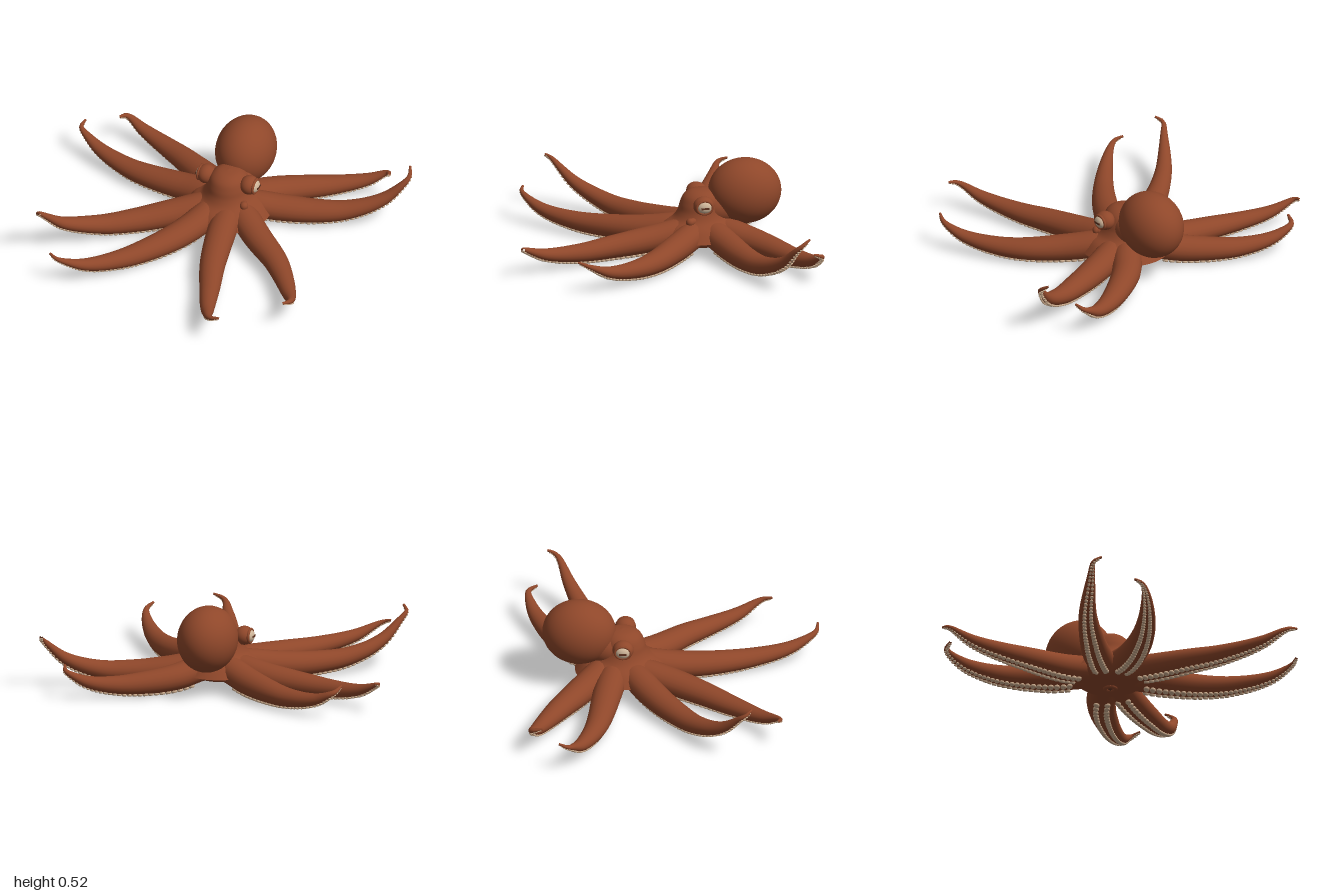
import * as THREE from 'three';
import { mergeGeometries } from 'three/addons/utils/BufferGeometryUtils.js';

const mat = (name, color) => {
  const m = new THREE.MeshStandardMaterial({ color });
  m.name = name;
  return m;
};
const V2 = (x, y) => new THREE.Vector2(x, y);
const UP = new THREE.Vector3(0, 1, 0);

// Smooth value over 0..1 from evenly spaced knots
const smooth = (knots) => {
  const c = new THREE.SplineCurve(knots.map((v, i) => V2(i / (knots.length - 1), v)));
  return (t) => c.getPoint(t).y;
};
const armRadius = smooth([0.085, 0.083, 0.073, 0.058, 0.038, 0.007]);
const lowArm = smooth([0.135, 0.105, 0.09, 0.088, 0.115, 0.195]);
const raisedArm = smooth([0.135, 0.105, 0.092, 0.107, 0.18, 0.34]);

// Plan paths (x, z) of the eight arms, base to curled tip
const ARMS = [
  { name: 'frontLeftArm', path: [[0.09, -0.16], [0.11, 0], [0.165, 0.24], [0.23, 0.43], [0.335, 0.71], [0.4, 0.825], [0.465, 0.835]] },
  { name: 'sideLeftArm', path: [[0.14, -0.21], [0.3, -0.07], [0.5, 0.1], [0.67, 0.33], [0.755, 0.5], [0.735, 0.565]] },
  { name: 'frontRightArm', path: [[-0.01, -0.17], [-0.07, 0], [-0.17, 0.19], [-0.36, 0.45], [-0.55, 0.64], [-0.62, 0.675], [-0.665, 0.66]] },
  { name: 'sideRightArm', raised: true, path: [[-0.05, -0.2], [-0.25, -0.06], [-0.43, 0.08], [-0.65, 0.27], [-0.78, 0.43], [-0.815, 0.485], [-0.785, 0.52]] },
  { name: 'rearSideRightArm', path: [[-0.06, -0.3], [-0.24, -0.33], [-0.6, -0.38], [-0.91, -0.48], [-0.985, -0.52], [-0.98, -0.57]] },
  { name: 'rearRightArm', path: [[-0.04, -0.37], [-0.22, -0.49], [-0.45, -0.625], [-0.69, -0.715], [-0.79, -0.73], [-0.815, -0.67]] },
  { name: 'rearSideLeftArm', raised: true, path: [[0.14, -0.3], [0.29, -0.36], [0.62, -0.48], [0.885, -0.61], [0.98, -0.68], [0.965, -0.735]] },
  { name: 'rearLeftArm', path: [[0.12, -0.38], [0.25, -0.53], [0.48, -0.695], [0.69, -0.805], [0.785, -0.83], [0.81, -0.78]] },
];

// Returns position and axes along an arm
function armFrames({ path, raised }) {
  const plan = new THREE.CatmullRomCurve3(path.map(([x, z]) => new THREE.Vector3(x, 0, z)));
  const height = raised ? raisedArm : lowArm;
  const at = (t) => {
    const p = plan.getPointAt(t);
    p.y = height(t);
    return p;
  };
  const frame = (t) => {
    const tangent = at(Math.min(1, t + 0.005)).sub(at(Math.max(0, t - 0.005))).normalize();
    const side = tangent.clone().cross(UP).normalize();
    return { p: at(t), side, up: side.clone().cross(tangent), r: armRadius(t) };
  };
  return { frame, length: plan.getLength() };
}

// Tapered arm, slightly flattened
const FLAT = 0.9;
function armGeometry(frame, rings = 56, sides = 20) {
  const pos = [], idx = [];
  for (let i = 0; i <= rings; i++) {
    const { p, side, up, r } = frame(i / rings);
    for (let j = 0; j < sides; j++) {
      const a = (j / sides) * Math.PI * 2;
      const v = p.clone().addScaledVector(side, Math.cos(a) * r).addScaledVector(up, Math.sin(a) * r * FLAT);
      pos.push(v.x, v.y, v.z);
      if (i === rings) continue;
      const k = (j + 1) % sides, b = i * sides, c = b + sides;
      idx.push(b + j, c + j, b + k, c + j, c + k, b + k);
    }
  }
  const g = new THREE.BufferGeometry();
  g.setAttribute('position', new THREE.Float32BufferAttribute(pos, 3));
  g.setIndex(idx);
  g.computeVertexNormals();
  return g;
}

// Two rows of cups under the arm, shrinking to the tip
function suckerGeometry({ frame, length }) {
  const cup = new THREE.LatheGeometry(
    [V2(0.8, -0.6), V2(1.05, 0.2), V2(0.9, 0.7), V2(0.55, 0.75), V2(0, 0.35)], 10);
  const parts = [];
  for (let t = 0.12; t < 0.985;) {
    const { p, side, up, r } = frame(t);
    const size = 0.15 * r + 0.0045;
    for (const s of [-1, 1]) {
      const a = s * 0.36;
      const out = up.clone().multiplyScalar(-Math.cos(a)).addScaledVector(side, Math.sin(a));
      const spot = p.clone().addScaledVector(up, -Math.cos(a) * r * FLAT).addScaledVector(side, Math.sin(a) * r);
      const m = new THREE.Matrix4().compose(
        spot, new THREE.Quaternion().setFromUnitVectors(UP, out), new THREE.Vector3(size, size, size));
      parts.push(cup.clone().applyMatrix4(m));
    }
    t += (size * 2) / length;
  }
  return mergeGeometries(parts);
}

export function createModel() {
  const skin = mat('skin', 0x8f472a);
  const pale = mat('sucker', 0xcbac8e);
  const eyeColor = mat('eye', 0xcdb498);
  const dark = mat('darkBrown', 0x5e3220);
  const model = new THREE.Group();
  model.name = 'octopus';

  const add = (name, geo, material, pos = [0, 0, 0], scale = [1, 1, 1], parent = model) => {
    const m = new THREE.Mesh(geo, material);
    m.name = name;
    m.position.set(...pos);
    m.scale.set(...scale);
    parent.add(m);
    return m;
  };
  const ball = new THREE.SphereGeometry(1, 40, 28);

  // Mantle, head flaring into the arms, and the web underneath
  add('mantle', ball, skin, [0.045, 0.345, -0.505], [0.17, 0.19, 0.21]);
  add('neck', ball, skin, [0.045, 0.26, -0.34], [0.115, 0.105, 0.14]);
  add('web', ball, skin, [0.05, 0.115, -0.26], [0.21, 0.075, 0.2]);
  const headProfile = new THREE.SplineCurve([V2(0.25, 0.11), V2(0.205, 0.17), V2(0.155, 0.205),
    V2(0.13, 0.245), V2(0.118, 0.29), V2(0.098, 0.335), V2(0.058, 0.363), V2(0, 0.372)]);
  add('head', new THREE.LatheGeometry(headProfile.getPoints(32), 48), skin, [0.045, 0, -0.26], [1, 1, 1.08]);

  // Arms with suckers
  for (const spec of ARMS) {
    const arm = new THREE.Group();
    arm.name = spec.name;
    const frames = armFrames(spec);
    add('armFlesh', armGeometry(frames.frame), skin, undefined, undefined, arm);
    add('suckers', suckerGeometry(frames), pale, undefined, undefined, arm);
    model.add(arm);
  }

  // Eyes: bulge, lid ring, pale eyeball and bar pupil
  for (const s of [1, -1]) {
    const eye = new THREE.Group();
    eye.name = s > 0 ? 'leftEye' : 'rightEye';
    eye.position.set(0.045 + s * 0.133, 0.308, -0.248);
    eye.rotation.y = s * Math.PI / 2;
    add('eyeBulge', ball, skin, [0, 0, 0], [0.06, 0.054, 0.054], eye);
    add('eyelid', new THREE.TorusGeometry(0.042, 0.008, 10, 32), skin, [0, 0, 0.037], [1.05, 0.92, 1], eye);
    add('eyeball', ball, eyeColor, [0, 0, 0.034], [0.042, 0.035, 0.026], eye);
    add('pupil', new THREE.BoxGeometry(0.044, 0.011, 0.008), dark, [0, 0, 0.057], undefined, eye);
    model.add(eye);
  }

  // Siphon beside the head
  const siphonPath = new THREE.CatmullRomCurve3([
    new THREE.Vector3(0.11, 0.2, -0.23), new THREE.Vector3(0.155, 0.21, -0.2), new THREE.Vector3(0.178, 0.212, -0.17)]);
  add('siphon', new THREE.TubeGeometry(siphonPath, 12, 0.022, 16), skin);
  add('siphonEnd', ball, skin, [0.178, 0.212, -0.17], [0.024, 0.024, 0.024]);

  // Mouth underneath
  const lip = add('mouthLip', new THREE.TorusGeometry(0.03, 0.012, 10, 28), skin, [0.045, 0.042, -0.25]);
  lip.rotation.x = Math.PI / 2;
  const beak = add('beak', new THREE.ConeGeometry(0.022, 0.03, 16), dark, [0.045, 0.04, -0.25]);
  beak.rotation.x = Math.PI;

  return model;
}
